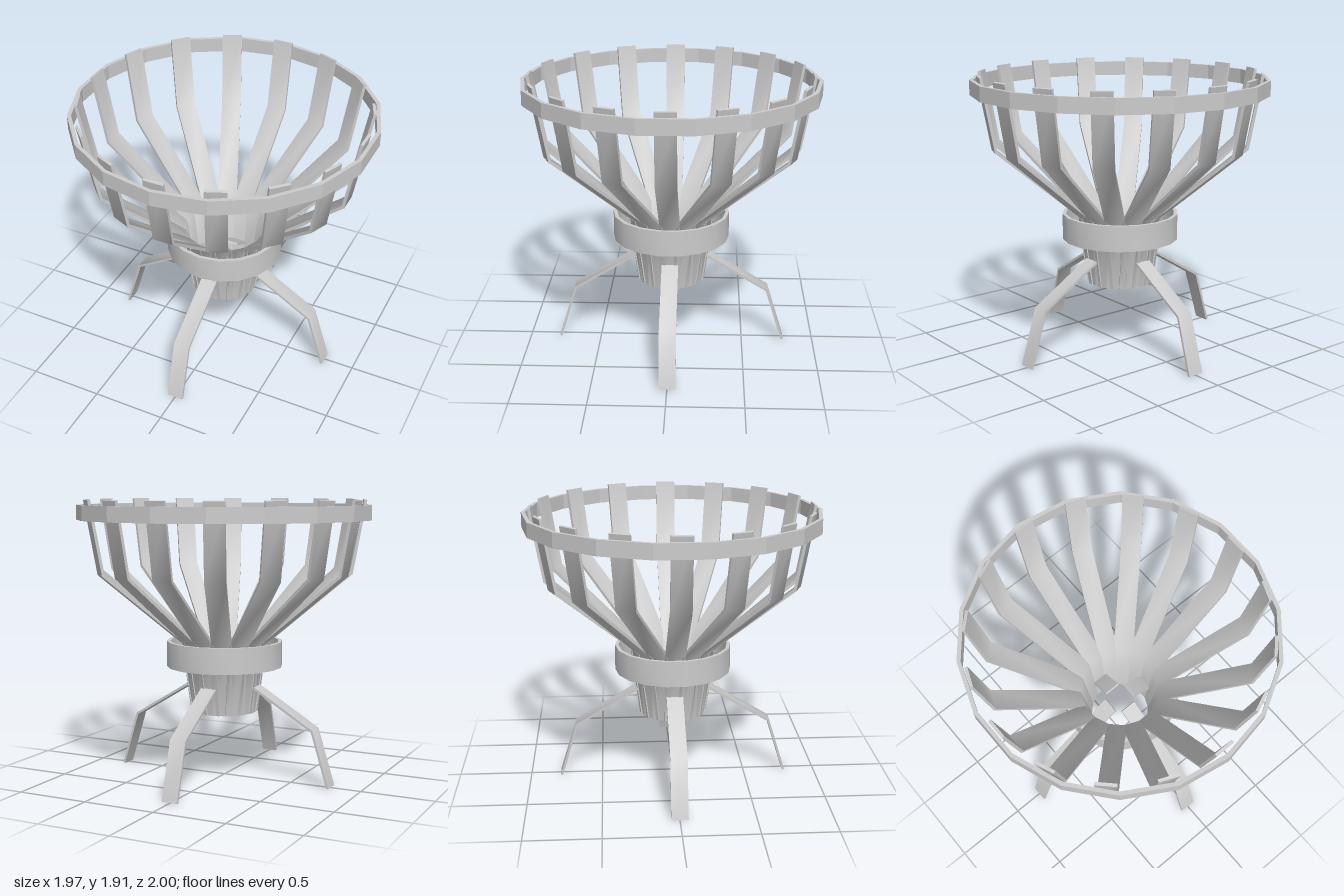
import * as THREE from 'three';
import { toCreasedNormals } from 'three/addons/utils/BufferGeometryUtils.js';

const material = new THREE.MeshStandardMaterial({ color: 0xcccccc });

// Bent flat strip: a (radius, height) path thickened evenly with mitred bends, then given a width
function stripGeometry(path, thickness, width) {
  const pts = path.map(([r, y]) => new THREE.Vector2(r, y));
  const normal = (a, b) => {
    const d = b.clone().sub(a).normalize();
    return new THREE.Vector2(-d.y, d.x);
  };
  const outer = [], inner = [];
  pts.forEach((p, i) => {
    const n1 = normal(pts[Math.max(i - 1, 0)], pts[Math.max(i, 1)]);
    const last = pts.length - 1;
    const n2 = normal(pts[Math.min(i, last - 1)], pts[Math.min(i + 1, last)]);
    const mitre = n1.clone().add(n2).normalize();
    mitre.multiplyScalar(thickness / 2 / mitre.dot(n1));
    outer.push(p.clone().add(mitre));
    inner.unshift(p.clone().sub(mitre));
  });
  const geometry = new THREE.ExtrudeGeometry(new THREE.Shape([...outer, ...inner]), {
    depth: width, bevelEnabled: false,
  });
  geometry.translate(0, 0, -width / 2);
  return toCreasedNormals(geometry, 0.9);
}

// Hoop with a rectangular section
function hoopGeometry(inner, outer, bottom, top, crease) {
  const profile = [
    [inner, bottom], [outer, bottom], [outer, top], [inner, top], [inner, bottom],
  ].map(([r, y]) => new THREE.Vector2(r, y));
  return toCreasedNormals(new THREE.LatheGeometry(profile, 18), crease);
}

export function createModel() {
  const model = new THREE.Group();
  const add = (name, geometry, parent = model) => {
    const mesh = new THREE.Mesh(geometry, material);
    mesh.name = name;
    parent.add(mesh);
    return mesh;
  };
  const addAround = (name, geometry, count) => {
    const group = new THREE.Group();
    group.name = name + 's';
    for (let i = 0; i < count; i++) {
      add(name, geometry, group).rotation.y = (i / count) * Math.PI * 2;
    }
    model.add(group);
  };

  // Basket slats, overlapping into a narrow neck at the bottom
  const slat = stripGeometry([[0.211, 0.46], [0.275, 0.93], [0.855, 1.415], [0.943, 1.904]], 0.02, 0.135);
  addAround('slat', slat, 16);

  // Bands that hold the slats
  add('rimBand', hoopGeometry(0.972, 0.998, 1.77, 1.87, 0.2));
  add('neckCollar', hoopGeometry(0.372, 0.397, 0.77, 0.945, 0.5));

  // Bent legs, pushed through the neck
  const leg = stripGeometry([[0.085, 0.735], [0.67, 0.38], [0.786, 0.003]], 0.016, 0.112);
  addAround('leg', leg, 4);

  return model;
}
